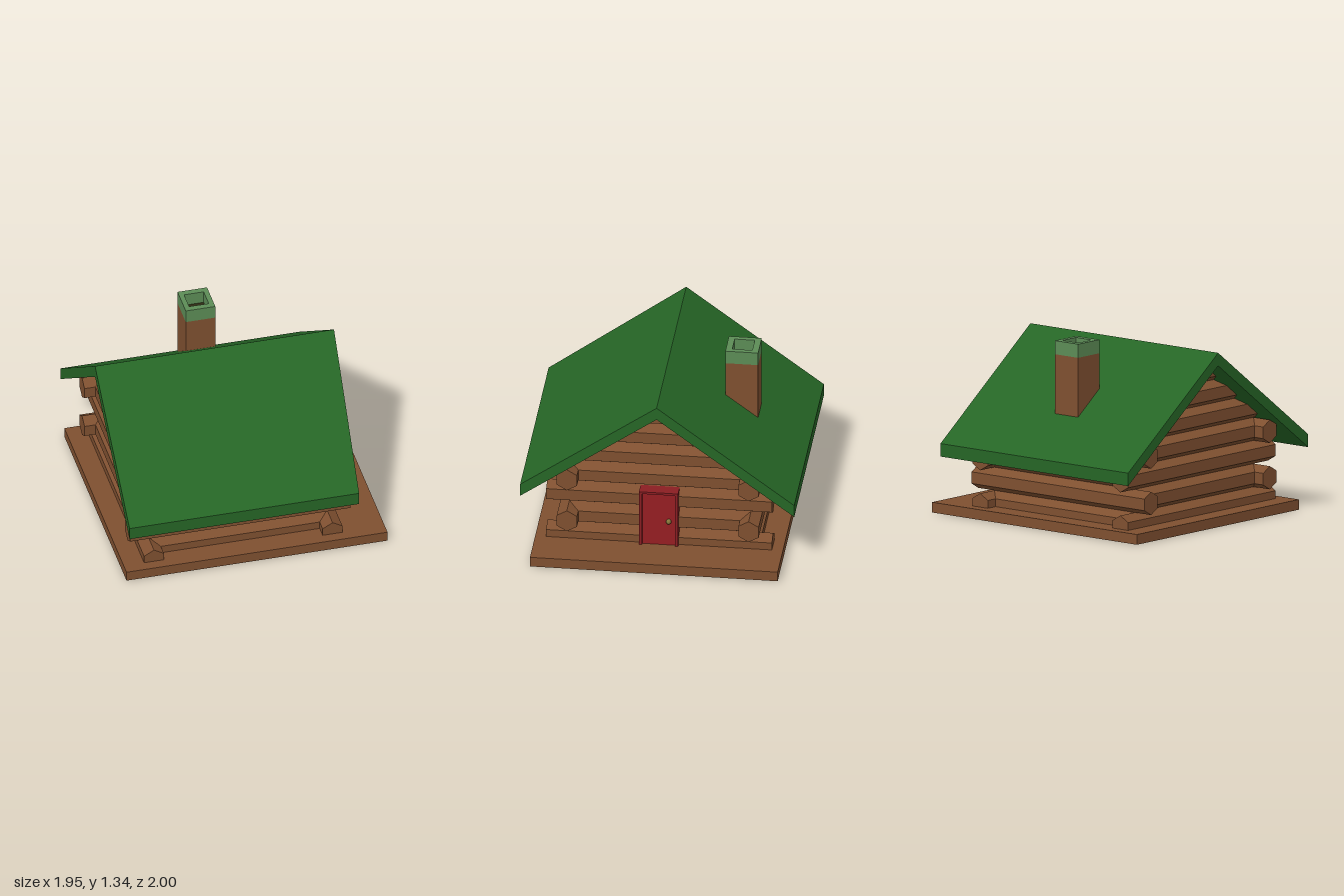
import * as THREE from 'three';

const material = (name, color) => {
  const m = new THREE.MeshStandardMaterial({ color });
  m.name = name;
  return m;
};

export function createModel() {
  const cabin = new THREE.Group();
  cabin.name = 'logCabin';
  const wood = material('brown wood', 0x7f5030);
  const green = material('roof green', 0x266626);
  const paleGreen = material('chimney cap green', 0x5c8c56);
  const red = material('door red', 0x961e22);
  const darkRed = material('door frame red', 0x8a1e22);
  const soot = material('soot', 0x2e2a12);
  const brass = material('knob brass', 0x85743a);

  const add = (name, geometry, mat, parent = cabin) => {
    const mesh = new THREE.Mesh(geometry, mat);
    mesh.name = name;
    parent.add(mesh);
    return mesh;
  };
  // Box given by its lower and upper corners
  const box = (name, mat, [x0, y0, z0], [x1, y1, z1], parent) => {
    const mesh = add(name, new THREE.BoxGeometry(x1 - x0, y1 - y0, z1 - z0), mat, parent);
    mesh.position.set((x0 + x1) / 2, (y0 + y1) / 2, (z0 + z1) / 2);
    return mesh;
  };
  const polygon = (points) => new THREE.Shape(points.map(([x, y]) => new THREE.Vector2(x, y)));

  // Floor slab, hollow underneath
  const base = new THREE.Group();
  base.name = 'base';
  cabin.add(base);
  const T = 0.008, BX = 0.972, BZ = 0.9, FLOOR = 0.075;
  box('floor', wood, [-BX, FLOOR - T, -BZ], [BX, FLOOR, BZ], base);
  for (const s of [-1, 1]) {
    box('baseSide', wood, [-BX, 0, s * (BZ - T / 2) - T / 2], [BX, FLOOR - T, s * (BZ - T / 2) + T / 2], base);
    box('baseEnd', wood, [s * (BX - T / 2) - T / 2, 0, -BZ + T], [s * (BX - T / 2) + T / 2, FLOOR - T, BZ - T], base);
  }

  // Hexagonal log lying along z; each corner is trimmed to the roof slope and the floor
  const SLOPE = 0.74, UNDER = 1.185, R = 0.085, W = 0.0735;
  const hexagon = polygon([[0, -R], [W, -R / 2], [W, R / 2], [0, R], [-W, R / 2], [-W, -R / 2]]);
  const logGeometry = (y, halfLength, trimmed) => {
    const g = new THREE.ExtrudeGeometry(hexagon, { depth: 2, bevelEnabled: false });
    const p = g.attributes.position;
    for (let i = 0; i < p.count; i++) {
      const py = Math.max(p.getY(i) + y, 0.058);
      const roofLimit = Math.max((UNDER - py) / SLOPE, 0.001);
      const half = trimmed ? Math.min(halfLength, roofLimit) : halfLength;
      p.setXYZ(i, p.getX(i), py, p.getZ(i) > 1 ? half : -half);
    }
    g.computeVertexNormals();
    return g;
  };

  // Log walls: long logs alternate direction, shorter ones fill the gaps
  const walls = new THREE.Group();
  walls.name = 'walls';
  cabin.add(walls);
  const CX = -0.082, HX = 0.665, HZ = 0.66;
  for (let row = 0; row < 7; row++) {
    const y = 0.09 + row * 0.17, even = row % 2 === 0, gable = row > 3;
    for (const s of [-1, 1]) {
      const end = add(gable ? 'gableLog' : 'endWallLog',
        logGeometry(y, gable || even ? 0.82 : HZ, gable), wood, walls);
      end.position.x = CX + s * HX;
      if (gable) continue;
      const side = add('sideWallLog', logGeometry(y, even ? HX : 0.82, false), wood, walls);
      side.rotation.y = Math.PI / 2;
      side.position.set(CX, 0, s * HZ);
    }
  }

  // Gabled roof, its front slope narrowing toward the eave
  const roof = new THREE.ExtrudeGeometry(
    polygon([[-1, 0.445], [0, UNDER], [1, 0.445], [1, 0.54], [0, 1.28], [-1, 0.54]]),
    { depth: 1.78, bevelEnabled: false });
  roof.rotateY(Math.PI / 2).translate(-0.975, 0, 0);
  const rp = roof.attributes.position;
  for (let i = 0; i < rp.count; i++) {
    if (rp.getX(i) > 0 && rp.getZ(i) > 0.5) rp.setX(i, 0.735);
  }
  roof.computeVertexNormals();
  add('roof', roof, green);

  // Chimney with an open cap
  const chimney = new THREE.Group();
  chimney.name = 'chimney';
  cabin.add(chimney);
  box('chimneyStack', wood, [-0.195, 0.74, -0.643], [0.025, 1.24, -0.405], chimney);
  const rim = polygon([[-0.11, -0.119], [0.11, -0.119], [0.11, 0.119], [-0.11, 0.119]]);
  rim.holes.push(polygon([[-0.073, -0.073], [-0.073, 0.073], [0.073, 0.073], [0.073, -0.073]]));
  const cap = add('chimneyCap', new THREE.ExtrudeGeometry(rim, { depth: 0.1, bevelEnabled: false }), paleGreen, chimney);
  cap.rotation.x = -Math.PI / 2;
  cap.position.set(-0.085, 1.24, -0.524);
  box('flueFloor', soot, [-0.158, 1.24, -0.597], [-0.012, 1.246, -0.451], chimney);

  // Door with raised frame and knob
  const door = new THREE.Group();
  door.name = 'door';
  cabin.add(door);
  box('doorPanel', red, [0.52, 0.06, -0.12], [0.672, 0.495, 0.12], door);
  box('doorLintel', darkRed, [0.52, 0.495, -0.142], [0.69, 0.512, 0.142], door);
  for (const s of [-1, 1]) {
    box('doorPost', darkRed, [0.52, 0.06, s * 0.131 - 0.011], [0.69, 0.495, s * 0.131 + 0.011], door);
  }
  const knob = add('doorKnob', new THREE.SphereGeometry(0.02, 8, 6), brass, door);
  knob.position.set(0.685, 0.275, -0.073);

  return cabin;
}
